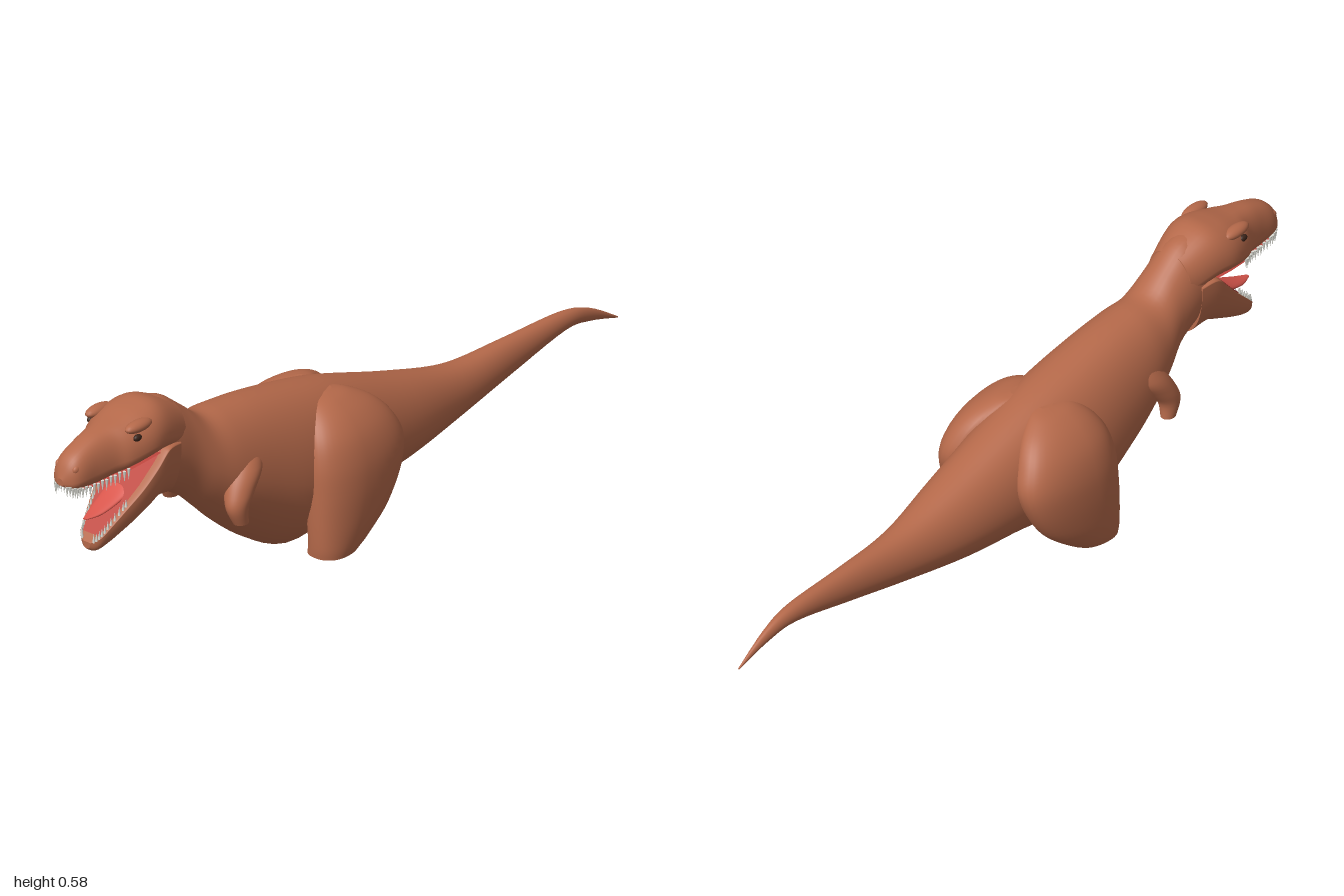
import * as THREE from 'three';

const mat = (name, color, side = THREE.FrontSide) => {
  const m = new THREE.MeshStandardMaterial({ color, side });
  m.name = name;
  return m;
};

// Smoothly resample rows of section values (Catmull-Rom per column)
function resample(rows, steps) {
  const out = [], last = rows.length - 1;
  for (let i = 0; i < last; i++) {
    const a = rows[Math.max(i - 1, 0)], b = rows[i], c = rows[i + 1], d = rows[Math.min(i + 2, last)];
    for (let j = 0; j < steps; j++) {
      const t = j / steps;
      out.push(b.map((v, k) => v + 0.5 * t * (c[k] - a[k] + t * (2 * a[k] - 5 * v + 4 * c[k] - d[k]
        + t * (3 * (v - c[k]) + d[k] - a[k])))));
    }
  }
  out.push(rows[last]);
  return out;
}

// Skin closed rings of points, cap both ends, and face the result outward
function loft(rings) {
  const n = rings[0].length, pts = rings.flat(), idx = [];
  for (let i = 0; i < rings.length - 1; i++) {
    for (let j = 0; j < n; j++) {
      const k = (j + 1) % n, a = i * n + j, b = i * n + k, c = a + n, d = b + n;
      idx.push(a, b, d, a, d, c);
    }
  }
  [rings[0], rings[rings.length - 1]].forEach((ring, end) => {
    const start = pts.length;
    const centre = ring.reduce((s, p) => s.add(p), new THREE.Vector3()).divideScalar(n);
    pts.push(...ring, centre);
    for (let j = 0; j < n; j++) {
      const a = start + j, b = start + (j + 1) % n;
      if (end) idx.push(start + n, a, b);
      else idx.push(start + n, b, a);
    }
  });
  let volume = 0;
  const cross = new THREE.Vector3();
  for (let i = 0; i < idx.length; i += 3) {
    volume += pts[idx[i]].dot(cross.crossVectors(pts[idx[i + 1]], pts[idx[i + 2]]));
  }
  if (volume < 0) idx.reverse();
  const g = new THREE.BufferGeometry().setFromPoints(pts);
  g.setIndex(idx);
  g.computeVertexNormals();
  return g;
}

const pow = (v, e) => Math.sign(v) * Math.abs(v) ** e;
const angles = Array.from({ length: 40 }, (_, i) => (i / 40) * Math.PI * 2);

// Sections across z: [z, top, bottom, halfWidth]; k is the height of the widest line
function sections(rows, k, topPower, bottomPower) {
  return loft(resample(rows, 5).map(([z, top, bot, w]) => {
    const mid = bot + (top - bot) * k;
    return angles.map((a) => {
      const c = Math.cos(a), s = Math.sin(a);
      return new THREE.Vector3(w * pow(c, s > 0 ? topPower : bottomPower),
        mid + s * (s > 0 ? top - mid : mid - bot), z);
    });
  }));
}

// Thin lining strip across a jaw: rows of [z, y, halfWidth]
function lining(rows) {
  const pts = [], idx = [];
  rows.forEach(([z, y, w], i) => {
    pts.push(new THREE.Vector3(-w, y, z), new THREE.Vector3(w, y, z));
    if (i) idx.push(2 * i - 2, 2 * i, 2 * i - 1, 2 * i - 1, 2 * i, 2 * i + 1);
  });
  const g = new THREE.BufferGeometry().setFromPoints(pts);
  g.setIndex(idx);
  g.computeVertexNormals();
  return g;
}

export function createModel() {
  const model = new THREE.Group();
  const skin = mat('brown skin', 0xb5694a);
  const mouth = mat('mouth red', 0xbe463e, THREE.DoubleSide);
  const tongueRed = mat('tongue red', 0xd8564c);
  const ivory = mat('tooth ivory', 0xdcdcd4);
  const dark = mat('eye dark', 0x3a241a);
  const add = (name, geometry, material, parent = model) => {
    const m = new THREE.Mesh(geometry, material);
    m.name = name;
    parent.add(m);
    return m;
  };

  // Tail, trunk and neck
  add('body', sections([
    [-1, 0.182, 0.178, 0.002], [-0.9, 0.24, 0.205, 0.012], [-0.8, 0.265, 0.213, 0.022],
    [-0.6, 0.265, 0.165, 0.037], [-0.4, 0.267, 0.118, 0.06], [-0.2, 0.316, 0.078, 0.096],
    [0, 0.38, 0.05, 0.12], [0.1, 0.408, 0.026, 0.133], [0.22, 0.432, 0.002, 0.14],
    [0.35, 0.453, 0.068, 0.128], [0.45, 0.462, 0.143, 0.115], [0.52, 0.468, 0.208, 0.097],
    [0.58, 0.512, 0.262, 0.081], [0.64, 0.556, 0.295, 0.078], [0.69, 0.57, 0.312, 0.078],
  ], 0.48, 0.95, 1.35), skin);

  // Skull and upper jaw
  const upper = [
    [0.62, 0.54, 0.43, 0.068], [0.7, 0.577, 0.45, 0.089], [0.76, 0.573, 0.45, 0.097],
    [0.82, 0.557, 0.438, 0.084], [0.86, 0.548, 0.428, 0.063], [0.91, 0.536, 0.421, 0.052],
    [0.96, 0.514, 0.424, 0.046], [0.985, 0.49, 0.428, 0.034], [1, 0.455, 0.437, 0.01],
  ];
  add('upperHead', sections(upper, 0.3, 0.8, 0.45), skin);
  add('palate', lining(upper.slice(1, 8).map(([z, , bot, w]) => [z, bot - 0.002, w * 0.8])), mouth);

  // Open lower jaw
  const lower = [
    [0.65, 0.46, 0.3, 0.08], [0.7, 0.462, 0.306, 0.089], [0.74, 0.42, 0.29, 0.086],
    [0.78, 0.375, 0.27, 0.076], [0.82, 0.335, 0.25, 0.062], [0.86, 0.295, 0.232, 0.047],
    [0.89, 0.265, 0.224, 0.034], [0.905, 0.25, 0.232, 0.012],
  ];
  add('lowerJaw', sections(lower, 0.95, 0.4, 0.7), skin);
  add('jawLining', lining(lower.slice(1, 7).map(([z, top, , w]) => [z, top + 0.003, w * 0.78])), mouth);
  add('tongue', sections([
    [0.71, 0.445, 0.41, 0.045], [0.76, 0.392, 0.36, 0.042], [0.81, 0.355, 0.335, 0.034],
    [0.87, 0.328, 0.314, 0.022], [0.912, 0.316, 0.312, 0.005],
  ], 0.5, 0.8, 0.8), tongueRed);

  // Teeth along both lips
  const teeth = new THREE.Group();
  teeth.name = 'teeth';
  model.add(teeth);
  const upperTooth = new THREE.ConeGeometry(0.0045, 0.03, 6).rotateX(Math.PI);
  const lowerTooth = new THREE.ConeGeometry(0.004, 0.024, 6);
  for (const s of [-1, 1]) {
    resample(upper.slice(3), 4).slice(1, -2).forEach(([z, , bot, w], i) => {
      add('upperTooth', upperTooth, ivory, teeth).position.set(s * w * 0.85, bot - 0.008 - 0.003 * (i % 2), z);
    });
    resample(lower.slice(4), 4).slice(0, -2).forEach(([z, top, , w]) => {
      add('lowerTooth', lowerTooth, ivory, teeth).position.set(s * w * 0.85, top + 0.008, z);
    });
  }
  for (const x of [-0.02, -0.01, 0, 0.01, 0.02]) {
    add('frontTooth', upperTooth, ivory, teeth).position.set(x, 0.425, 0.985);
  }

  const ball = new THREE.SphereGeometry(1, 20, 14);
  for (const s of [-1, 1]) {
    const side = s > 0 ? 'left' : 'right';

    // Thigh, cut flat at the bottom: [y, inner x, outer x, back z, front z]
    const thigh = resample([
      [0.012, 0.085, 0.19, 0.1, 0.235], [0.04, 0.086, 0.196, 0.06, 0.238],
      [0.1, 0.075, 0.203, -0.01, 0.24], [0.18, 0.06, 0.206, -0.06, 0.24],
      [0.25, 0.045, 0.2, -0.078, 0.238], [0.31, 0.035, 0.18, -0.055, 0.225],
      [0.355, 0.025, 0.145, -0.015, 0.2], [0.385, 0.02, 0.1, 0.04, 0.165],
      [0.394, 0.03, 0.06, 0.08, 0.12],
    ], 5).map(([y, inner, outer, back, front]) => {
      const zc = back + 0.6 * (front - back);
      return angles.map((a) => {
        const c = Math.cos(a), q = Math.sin(a);
        return new THREE.Vector3(s * ((inner + outer) / 2 + (outer - inner) / 2 * pow(c, 0.85)),
          y, zc + q * (q > 0 ? front - zc : zc - back));
      });
    });
    add(side + 'Thigh', loft(thigh), skin);

    // Short arm stub: [y, x, z, radius]
    const arm = resample([
      [0.38, 0.06, 0.4, 0.025], [0.32, 0.085, 0.43, 0.042], [0.27, 0.102, 0.465, 0.036],
      [0.23, 0.112, 0.485, 0.027], [0.188, 0.117, 0.477, 0.018],
    ], 4).map(([y, x, z, r]) => angles.map((a) =>
      new THREE.Vector3(s * (x + r * Math.cos(a)), y, z + r * Math.sin(a) * 1.15)));
    add(side + 'Arm', loft(arm), skin);

    // Brow ridge, eye and nostril rim
    const brow = add(side + 'Brow', ball, skin);
    brow.position.set(s * 0.066, 0.546, 0.79);
    brow.scale.set(0.019, 0.015, 0.045);
    const eye = add(side + 'Eye', ball, dark);
    eye.position.set(s * 0.077, 0.522, 0.805);
    eye.scale.set(0.008, 0.009, 0.013);
    const nostril = add(side + 'Nostril', ball, skin);
    nostril.position.set(s * 0.028, 0.478, 0.97);
    nostril.scale.set(0.009, 0.012, 0.014);
  }
  return model;
}
